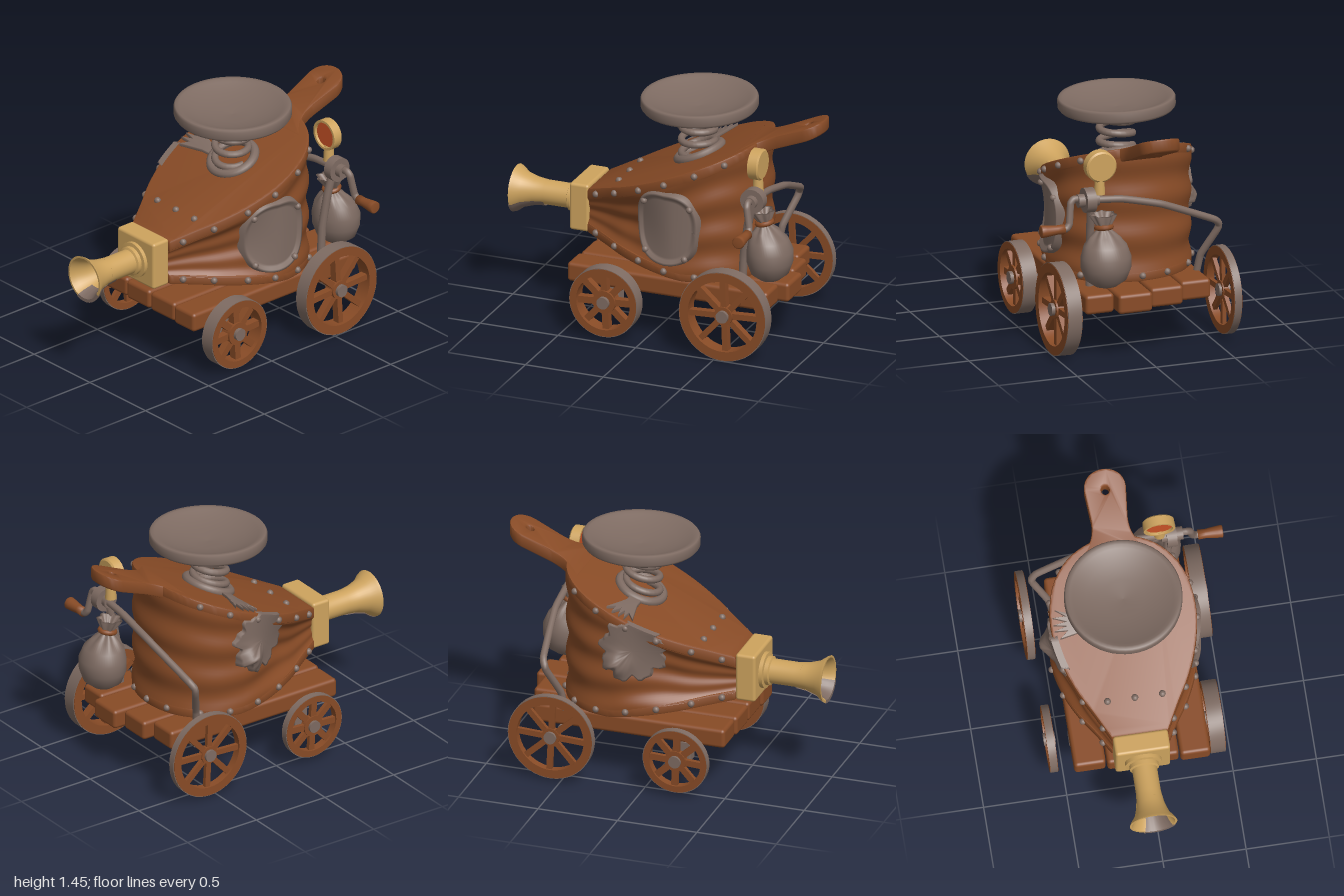
import * as THREE from 'three';
import { toCreasedNormals } from 'three/addons/utils/BufferGeometryUtils.js';
import { RoundedBoxGeometry } from 'three/addons/geometries/RoundedBoxGeometry.js';

const mat = (name, color, side = THREE.FrontSide) => {
  const m = new THREE.MeshStandardMaterial({ color, side });
  m.name = name;
  return m;
};
const V = (x, y, z) => new THREE.Vector3(x, y, z);
const V2 = (p) => new THREE.Vector2(p[0], p[1]);

export function createModel() {
  const root = new THREE.Group();
  root.name = 'bellowsCart';
  const brown = mat('brownWood', 0x884b26);
  const grey = mat('greyMetal', 0x7e6b62, THREE.DoubleSide);
  const gold = mat('brass', 0xcda35e);
  const red = mat('redDial', 0xc85226);

  const add = (parent, name, geo, m, x = 0, y = 0, z = 0) => {
    const mesh = new THREE.Mesh(geo, m);
    mesh.name = name;
    mesh.position.set(x, y, z);
    parent.add(mesh);
    return mesh;
  };
  const lathe = (pts, seg = 40, a = 0, len = Math.PI * 2) => new THREE.LatheGeometry(pts.map(V2), seg, a, len);
  const tube = (pts, r, n = 60) => new THREE.TubeGeometry(
    new THREE.CatmullRomCurve3(pts.map((p) => V(...p)), false, 'catmullrom', 0.2), n, r, 10);
  const rodX = (r, len, seg = 20) => new THREE.CylinderGeometry(r, r, len, seg).rotateZ(Math.PI / 2);

  // ---- Bellows: teardrop outline, symmetric about its own centre line
  const CX = -0.055;
  const body = new THREE.Group();
  body.name = 'bellows';
  body.position.x = CX;
  root.add(body);
  const half = [[0.17, 0.47], [0.25, 0.33], [0.34, 0.18], [0.41, 0], [0.437, -0.19], [0.4, -0.38], [0.3, -0.52], [0.16, -0.6]];
  const outline = new THREE.SplineCurve([...half, [0, -0.625], ...half.map(([x, z]) => [-x, z]).reverse()].map(V2));
  const samples = outline.getPoints(120);
  const halfWidth = (z) => {
    for (let i = 0; i < 60; i++) {
      const a = samples[i], b = samples[i + 1];
      if (z <= a.y && z >= b.y) return a.x + (b.x - a.x) * (a.y - z) / (a.y - b.y || 1);
    }
    return 0.17;
  };
  const topY = (z) => 1.0 - 0.42 * z;
  const bottomY = (z) => Math.max(0.415, 0.45 + 0.15 * z);
  // Share of the width lost at the waist; t runs from bottom board to top board
  const pinch = (z, t) => Math.sin(Math.PI * THREE.MathUtils.clamp(t, 0, 1)) * (0.005 + 0.15 * THREE.MathUtils.smoothstep(z, -0.2, 0.14));
  const sideX = (z, y) => halfWidth(z) * (1 - pinch(z, (y - bottomY(z)) / (topY(z) - bottomY(z))));

  // Flat board cut from a shape (x, -z), then lifted along a slope
  const board = (shape, h, lift, bevel = 0.012) => {
    const g = new THREE.ExtrudeGeometry(shape, {
      depth: h - 2 * bevel, bevelThickness: bevel, bevelSize: bevel, bevelOffset: -bevel, bevelSegments: 2, curveSegments: 16,
    }).translate(0, 0, bevel).rotateX(-Math.PI / 2);
    const p = g.attributes.position;
    for (let i = 0; i < p.count; i++) p.setY(i, p.getY(i) + lift(p.getZ(i)));
    g.computeVertexNormals();
    return toCreasedNormals(g, 0.6);
  };
  const boardShape = new THREE.Shape(samples.map((p) => new THREE.Vector2(p.x, -p.y)));
  add(body, 'topBoard', board(boardShape, 0.075, (z) => topY(z) - 0.075), brown);
  add(body, 'bottomBoard', board(boardShape, 0.065, bottomY), brown);

  const handle = new THREE.Shape();
  handle.moveTo(0.24, 0.5);
  handle.bezierCurveTo(0.14, 0.59, 0.11, 0.62, 0.11, 0.72);
  handle.lineTo(0.126, 0.89);
  handle.bezierCurveTo(0.126, 1.035, -0.126, 1.035, -0.126, 0.89);
  handle.lineTo(-0.11, 0.72);
  handle.bezierCurveTo(-0.11, 0.62, -0.14, 0.59, -0.24, 0.5);
  handle.holes.push(new THREE.Path().absarc(0, 0.88, 0.024, 0, Math.PI * 2, true));
  add(body, 'handle', board(handle, 0.083, (z) => topY(z) - 0.082), brown);

  // Leather wall with folds, pinched in towards the nozzle
  const wall = new THREE.PlaneGeometry(1, 1, 110, 32);
  const wp = wall.attributes.position;
  for (let i = 0; i < wp.count; i++) {
    const o = outline.getPoint(wp.getX(i) + 0.5), t = wp.getY(i) + 0.5;
    const lo = bottomY(o.y) + 0.05, hi = topY(o.y) - 0.06;
    const wave = 0.02 * Math.cos(t * Math.PI * 6 + 0.8 * Math.sin(o.y * 7 + o.x * 3));
    const s = 0.985 + wave - pinch(o.y, t);
    wp.setXYZ(i, o.x * s, lo + (hi - lo) * t, o.y < -0.15 ? -0.15 + (o.y + 0.15) * s : o.y);
  }
  wall.computeVertexNormals();
  add(body, 'leatherFolds', wall, brown);

  // Rivets along both boards
  const studGeo = new THREE.SphereGeometry(0.021, 12, 8);
  for (const z of [0.4, 0.24, 0.05, -0.13, -0.32, -0.48]) for (const s of [-1, 1]) {
    const x = s * (halfWidth(z) + 0.002);
    add(body, 'topRivet', studGeo, grey, x, topY(z) - 0.037, z);
    add(body, 'bottomRivet', studGeo, grey, x, bottomY(z) + 0.037, z);
  }
  for (const x of [-0.165, 0, 0.165]) {
    add(body, 'frontRivet', studGeo, grey, x, topY(0.27), 0.27);
    add(body, 'rearRivet', studGeo, grey, x, bottomY(-0.6) + 0.037, -0.625 + x * x);
  }

  // Metal patches that hug the side; off(r, dz, dy) is the height over the surface
  const patch = (name, side, cz, cy, rz, ry, radius, off) => {
    const g = new THREE.RingGeometry(0.001, 1, 72, 16);
    const p = g.attributes.position;
    for (let i = 0; i < p.count; i++) {
      const x = p.getX(i), y = p.getY(i), r = Math.hypot(x, y), k = radius(Math.atan2(y, x));
      const z = cz - side * x * k * rz, py = Math.min(cy + y * k * ry, topY(z) + 0.004);
      p.setXYZ(i, side * (sideX(z, py) + off(r, x, y)), py, z);
    }
    g.computeVertexNormals();
    add(body, name, g, grey);
  };
  patch('sidePlate', 1, -0.14, 0.74, 0.215, 0.24,
    (a) => (Math.abs(Math.cos(a)) ** 2.6 + Math.abs(Math.sin(a)) ** 2.6) ** (-1 / 2.6) * (1 + 0.05 * Math.sin(a) * Math.abs(Math.cos(a))),
    (r) => (r > 0.99 ? -0.03 : r > 0.86 ? 0.03 : 0.012));
  patch('tornPatch', -1, -0.09, 0.87, 0.2, 0.2, (a) => 1 + 0.1 * Math.sin(9 * a) + 0.06 * Math.sin(17 * a),
    (r, x, y) => (r > 0.99 ? -0.03 : 0.014) + 0.058 * Math.exp(-((x + 0.45) ** 2 + (y + 0.48) ** 2) * 9));
  for (const [z, y] of [[0.01, 0.89], [-0.3, 0.89], [-0.27, 0.57], [0.0, 0.58]]) {
    add(body, 'plateRivet', studGeo, grey, sideX(z, y) + 0.025, y, z);
  }
  const fringe = new THREE.Shape([[-0.12, 0.13], [-0.12, 0.19], [-0.22, 0.2], [-0.4, 0.26], [-0.34, 0.22], [-0.42, 0.22],
    [-0.34, 0.19], [-0.42, 0.18], [-0.34, 0.165], [-0.42, 0.145], [-0.34, 0.14], [-0.39, 0.1], [-0.22, 0.13]].map(V2).reverse());
  add(body, 'frayedStrap', board(fringe, 0.02, topY, 0.004), grey);

  // ---- Seat on a coil spring
  const ring = add(body, 'springBase', new THREE.TorusGeometry(0.137, 0.028, 10, 40).rotateX(Math.PI / 2), grey, 0, 1.085, -0.18);
  ring.rotation.x = Math.atan(0.42);
  const coil = [];
  for (let i = 0; i <= 84; i++) {
    const t = i / 84, a = t * Math.PI * 6.6;
    coil.push([Math.cos(a) * 0.1, 1.08 + 0.262 * t - Math.sin(a) * 0.025 * (1 - t), -0.17 + Math.sin(a) * 0.1]);
  }
  add(body, 'spring', tube(coil, 0.022, 220), grey);
  const seat = add(body, 'seat', lathe([[0, -0.042], [0.31, -0.042], [0.34, -0.036], [0.352, -0.02], [0.352, 0.025],
    [0.343, 0.038], [0.32, 0.038], [0.3, 0.026], [0.22, -0.002], [0.12, -0.022], [0, -0.03]], 56), grey, 0, 1.405, -0.18);
  seat.rotation.set(0.018, 0, -0.02);

  // ---- Brass nozzle with a soot stain wrapped over the lower lip
  add(body, 'nozzleBlock', new RoundedBoxGeometry(0.33, 0.3, 0.125, 3, 0.018), gold, 0, 0.67, 0.53);
  const horn = [[0.075, 0.8], [0.083, 0.87], [0.105, 0.94], [0.135, 0.98], [0.143, 0.996]];
  const bore = [[0.13, 0.996], [0.11, 0.96], [0.09, 0.9], [0.08, 0.84]];
  add(body, 'nozzle', toCreasedNormals(lathe([[0, 0.58], [0.11, 0.58], [0.11, 0.615], [0.088, 0.618], [0.088, 0.642], [0.075, 0.648],
    ...horn, ...bore, [0, 0.84]]).rotateX(Math.PI / 2), 0.6), gold, 0, 0.667, 0);
  const shift = (pts, dr, dz) => pts.map(([r, z]) => [r + dr, z + dz]);
  const stain = lathe([...shift(horn.slice(0, 4), 0.006, -0.002), ...shift(horn.slice(4), 0.004, 0.003),
    ...shift(bore.slice(0, 3), -0.004, 0.003)], 16, -0.4, 1.5);
  add(body, 'sootStain', toCreasedNormals(stain.rotateX(Math.PI / 2), 0.6), grey, 0, 0.667, 0);

  // ---- Cart bed
  [[-0.355, 0.19, -0.73, 0.48], [-0.15, 0.205, -0.79, 0.49], [0.07, 0.215, -0.85, 0.49], [0.275, 0.18, -0.79, 0.5]]
    .forEach(([x, w, z0, z1]) => add(root, 'plank', new RoundedBoxGeometry(w, 0.12, z1 - z0, 3, 0.022), brown, x, 0.36, (z0 + z1) / 2));
  for (const x of [-0.405, 0.297]) add(root, 'axleBracket', new RoundedBoxGeometry(0.085, 0.13, 0.09, 2, 0.008), grey, x, 0.245, 0.22);
  add(root, 'rearAxle', rodX(0.016, 0.86), grey, -0.02, 0.285, -0.55);

  // ---- Spoked wheels with iron tyres
  const wheel = (name, x, y, z, R, w, tilt, hubR, spokeW) => {
    const g = new THREE.Group();
    g.name = name;
    g.position.set(x, y, z);
    g.rotation.z = tilt;
    const band = (a, b, h) => toCreasedNormals(lathe([[a, -h], [b, -h], [b, h], [a, h], [a, -h]], 48).rotateZ(Math.PI / 2), 0.6);
    add(g, 'tyre', band(R - 0.01, R, w / 2 - 0.003), grey);
    add(g, 'rim', band(R * 0.79, R - 0.004, w / 2), brown);
    for (let i = 0; i < 8; i++) {
      const spoke = new THREE.BoxGeometry(w * 0.5, R * 0.82, spokeW).translate(0, R * 0.41, 0);
      add(g, 'spoke', spoke, brown).rotation.x = (i * Math.PI) / 4 + 0.05;
    }
    add(g, 'hub', rodX(hubR, w * 0.75, 24), brown);
    add(g, 'hubCap', rodX(0.038, w + 0.02, 20), grey);
    root.add(g);
  };
  wheel('frontWheelLeft', 0.42, 0.24, 0.225, 0.218, 0.095, 0, 0.072, 0.042);
  wheel('rearWheelLeft', 0.45, 0.283, -0.555, 0.28, 0.095, 0.02, 0.058, 0.036);
  wheel('frontWheelRight', -0.562, 0.237, 0.215, 0.203, 0.05, 0.02, 0.066, 0.04);
  wheel('rearWheelRight', -0.588, 0.287, -0.56, 0.267, 0.05, 0, 0.056, 0.035);

  // ---- Crank, pipes and pressure gauge
  add(root, 'crankHub', rodX(0.075, 0.06, 28), grey, 0.31, 0.985, -0.68);
  add(root, 'crankHubCore', rodX(0.04, 0.13), grey, 0.315, 0.985, -0.68);
  add(root, 'crankArm', tube([[0.3, 0.99, -0.68], [0.4, 1.0, -0.68], [0.425, 0.975, -0.685], [0.44, 0.86, -0.705],
    [0.46, 0.832, -0.71], [0.5, 0.83, -0.71]], 0.022), grey);
  add(root, 'crankGrip', lathe([[0, -0.075], [0.03, -0.075], [0.028, -0.03], [0.036, 0.04], [0.038, 0.07], [0.03, 0.075], [0, 0.075]], 20)
    .rotateZ(-Math.PI / 2), brown, 0.55, 0.83, -0.71);
  add(root, 'backPipe', tube([[0.31, 0.985, -0.68], [0.1, 0.97, -0.69], [-0.15, 0.91, -0.69], [-0.5, 0.76, -0.64], [-0.54, 0.72, -0.62],
    [-0.53, 0.68, -0.61], [-0.45, 0.52, -0.55], [-0.43, 0.4, -0.53]], 0.022), grey);
  add(root, 'post', tube([[0.29, 0.97, -0.67], [0.28, 0.8, -0.63], [0.27, 0.6, -0.6], [0.27, 0.4, -0.59]], 0.025), grey);
  add(root, 'gaugeStem', new THREE.CylinderGeometry(0.028, 0.034, 0.1, 20), gold, 0.24, 1.065, -0.68);
  add(root, 'gaugeCase', toCreasedNormals(lathe([[0, -0.033], [0.085, -0.033], [0.095, -0.024], [0.095, 0.033], [0.08, 0.033],
    [0.078, 0.015], [0, 0.015]]).rotateX(Math.PI / 2), 0.6), gold, 0.235, 1.187, -0.678);
  add(root, 'gaugeDial', new THREE.CircleGeometry(0.079, 32), red, 0.235, 1.187, -0.66);

  // ---- Tied sack hanging behind, with a flared, gathered mouth
  const sack = lathe([[0, -0.168], [0.07, -0.16], [0.125, -0.12], [0.152, -0.05], [0.153, 0.02], [0.13, 0.09], [0.085, 0.14],
    [0.045, 0.175], [0.042, 0.2], [0.08, 0.265], [0.062, 0.265], [0.02, 0.2], [0, 0.2]], 56);
  const sp = sack.attributes.position;
  for (let i = 0; i < sp.count; i++) {
    const y = sp.getY(i), a = Math.atan2(sp.getZ(i), sp.getX(i));
    const k = 1 + (y > 0.1 ? 0.1 : 0) * Math.cos(7 * a);
    sp.setXYZ(i, sp.getX(i) * k, y, sp.getZ(i) * k * 0.9 + Math.max(0, y - 0.05) * 0.25);
  }
  sack.computeVertexNormals();
  add(root, 'sack', sack, grey, 0.225, 0.625, -0.75);
  add(root, 'sackTie', new THREE.TorusGeometry(0.044, 0.016, 8, 24).rotateX(Math.PI / 2 + 0.2), brown, 0.225, 0.815, -0.715);
  return root;
}
